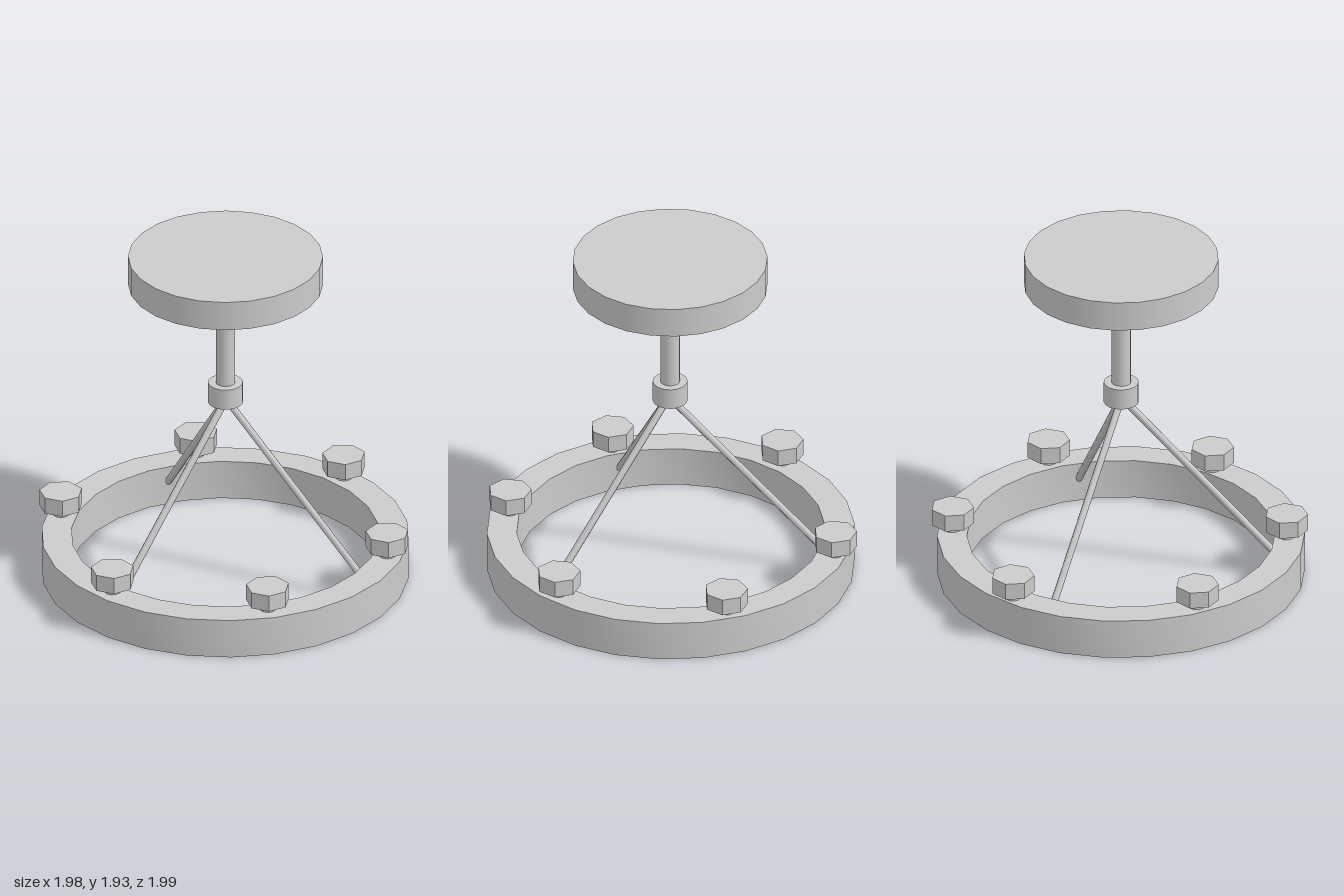
import * as THREE from 'three';
import { toCreasedNormals } from 'three/addons/utils/BufferGeometryUtils.js';

const smooth = new THREE.MeshStandardMaterial({ color: 0xcccccc });
const faceted = new THREE.MeshStandardMaterial({ color: 0xcccccc, flatShading: true });
const CX = -0.005, CZ = 0.003;

// Upright cylinder between two heights
function post(name, radius, y0, y1, sides, x = CX, z = CZ, material = smooth) {
  const mesh = new THREE.Mesh(new THREE.CylinderGeometry(radius, radius, y1 - y0, sides), material);
  mesh.name = name;
  mesh.position.set(x, (y0 + y1) / 2, z);
  return mesh;
}

// Slanted cylinder between two points
function rod(name, a, b, radius) {
  const mesh = new THREE.Mesh(new THREE.CylinderGeometry(radius, radius, a.distanceTo(b), 8), smooth);
  mesh.name = name;
  mesh.position.addVectors(a, b).multiplyScalar(0.5);
  mesh.quaternion.setFromUnitVectors(new THREE.Vector3(0, 1, 0), a.clone().sub(b).normalize());
  return mesh;
}

export function createModel() {
  const model = new THREE.Group();
  model.name = 'chandelier';

  // Ceiling plate, stem and collar
  model.add(post('ceilingPlate', 0.528, 1.76, 1.93, 24));
  model.add(post('stem', 0.053, 1.15, 1.765, 16));
  model.add(post('collar', 0.095, 1.04, 1.16, 16));

  // Ring with a rectangular section
  const outer = 0.997, inner = 0.835, height = 0.225;
  const section = [[outer, 0], [outer, height], [inner, height], [inner, 0], [outer, 0]]
    .map(([r, y]) => new THREE.Vector2(r, y));
  const ring = new THREE.Mesh(toCreasedNormals(new THREE.LatheGeometry(section, 26), 0.6), smooth);
  ring.name = 'ring';
  ring.position.x = CX;
  model.add(ring);

  // Three rods from the collar to the inner wall of the ring
  const top = new THREE.Vector3(CX, 1.06, 0.01);
  for (const degrees of [-82, 55, 164]) {
    const a = THREE.MathUtils.degToRad(degrees);
    const foot = new THREE.Vector3(CX + 0.84 * Math.cos(a), 0.13, 0.84 * Math.sin(a));
    model.add(rod('supportRod', top, foot, 0.02));
  }

  // Six lamps: a short socket under a seven-sided head
  const lamps = [[0.31, -0.875], [0.875, -0.25], [0.638, 0.645], [-0.228, 0.86], [-0.86, 0.27], [-0.665, -0.64]];
  for (const [x, z] of lamps) {
    const lamp = new THREE.Group();
    lamp.name = 'lamp';
    const head = post('lampHead', 0.118, 0.27, 0.365, 7, x, z, faceted);
    head.rotation.y = Math.PI;
    lamp.add(post('lampSocket', 0.044, 0.215, 0.275, 10, x, z), head);
    model.add(lamp);
  }
  return model;
}
